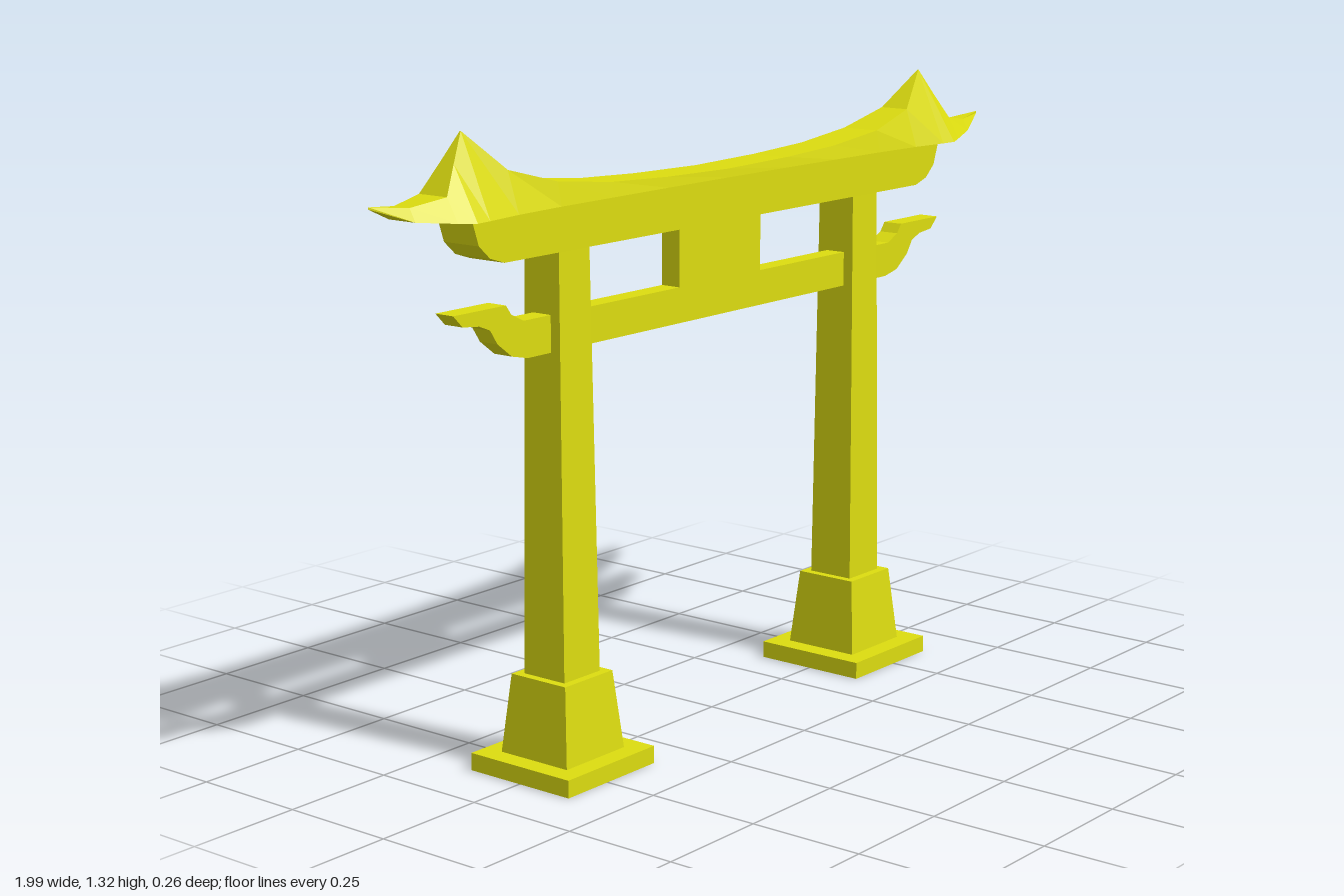
import * as THREE from 'three';

const yellow = new THREE.MeshStandardMaterial({ color: 0xdcdc10, flatShading: true, side: THREE.DoubleSide });
yellow.name = 'yellow';

function add(parent, name, geometry, x = 0, y = 0, z = 0) {
  const mesh = new THREE.Mesh(geometry, yellow);
  mesh.name = name;
  mesh.position.set(x, y, z);
  parent.add(mesh);
  return mesh;
}

// Square tapered post standing on y = 0, sizes are half widths
function taperedPost(bottom, top, height) {
  return new THREE.CylinderGeometry(top * Math.SQRT2, bottom * Math.SQRT2, height, 4)
    .rotateY(Math.PI / 4).translate(0, height / 2, 0);
}

// Beam whose right-hand outline is mirrored and extruded through z
function mirroredBeam(half, depth) {
  const outline = [...half, ...[...half].reverse().map(([x, y]) => [-x, y])];
  const shape = new THREE.Shape(outline.map(([x, y]) => new THREE.Vector2(x, y)));
  return new THREE.ExtrudeGeometry(shape, { depth: depth * 2, bevelEnabled: false }).translate(0, 0, -depth);
}

// Roof lofted through four-sided sections: x, bottom y, bottom half width, top y, top half width
function roofGeometry() {
  const half = [
    [0, 1.16, 0.046, 1.178, 0.044],
    [0.2, 1.16, 0.047, 1.182, 0.044],
    [0.37, 1.16, 0.05, 1.19, 0.044],
    [0.53, 1.16, 0.053, 1.208, 0.044],
    [0.66, 1.16, 0.061, 1.243, 0.034],
    [0.752, 1.16, 0.073, 1.323, 0.001],
    [0.79, 1.16, 0.077, 1.266, 0.018],
    [0.828, 1.163, 0.063, 1.21, 0.036],
    [0.91, 1.172, 0.034, 1.198, 0.02],
    [0.995, 1.203, 0.001, 1.207, 0.001],
  ];
  const sections = [...half.slice(1).reverse().map(([x, ...rest]) => [-x, ...rest]), ...half];
  const rings = sections.map(([x, yb, wb, yt, wt]) =>
    [[x, yb, -wb], [x, yb, wb], [x, yt, wt], [x, yt, -wt]]);
  const positions = [];
  for (let i = 0; i < rings.length - 1; i++) {
    for (let j = 0; j < 4; j++) {
      const k = (j + 1) % 4;
      const a = rings[i][j], b = rings[i][k], c = rings[i + 1][j], d = rings[i + 1][k];
      positions.push(...a, ...c, ...b, ...b, ...c, ...d);
    }
  }
  const geometry = new THREE.BufferGeometry();
  geometry.setAttribute('position', new THREE.Float32BufferAttribute(positions, 3));
  geometry.computeVertexNormals();
  return geometry;
}

// Foot slab, hollow underneath
function footGeometry() {
  const geometry = new THREE.BoxGeometry(0.264, 0.037, 0.262);
  const index = Array.from(geometry.index.array);
  index.splice(18, 6);
  geometry.setIndex(index);
  geometry.clearGroups();
  return geometry;
}

export function createModel() {
  const gate = new THREE.Group();
  gate.name = 'gate';

  // Two pillars with plinths and foot slabs
  for (const side of [1, -1]) {
    const pillar = new THREE.Group();
    pillar.name = side > 0 ? 'leftPillar' : 'rightPillar';
    pillar.position.x = side * 0.486;
    add(pillar, 'foot', footGeometry(), 0, 0.0185, 0);
    add(pillar, 'plinth', taperedPost(0.088, 0.072, 0.165), 0, 0.037, 0);
    // Shaft leans inward very slightly, keeping the same centre
    add(pillar, 'shaft', taperedPost(0.054, 0.045, 0.868), 0, 0.202, 0);
    gate.add(pillar);
  }

  // Lower tie beam with upturned ends
  add(gate, 'tieBeam', mirroredBeam([
    [0.6, 0.87], [0.645, 0.88], [0.685, 0.91], [0.705, 0.94], [0.735, 0.952], [0.78, 0.957],
    [0.805, 0.982], [0.66, 0.982], [0.645, 0.962], [0.61, 0.945],
  ], 0.023));

  // Centre panel between the beams
  add(gate, 'centrePanel', new THREE.BoxGeometry(0.272, 0.125, 0.046), 0, 1.0075, 0);

  // Upper beam with rounded lower corners
  add(gate, 'upperBeam', mirroredBeam([
    [0.685, 1.07], [0.725, 1.083], [0.755, 1.11], [0.772, 1.16],
  ], 0.045));

  // Curved roof with peaked, pointed ends
  add(gate, 'roof', roofGeometry());

  return gate;
}
